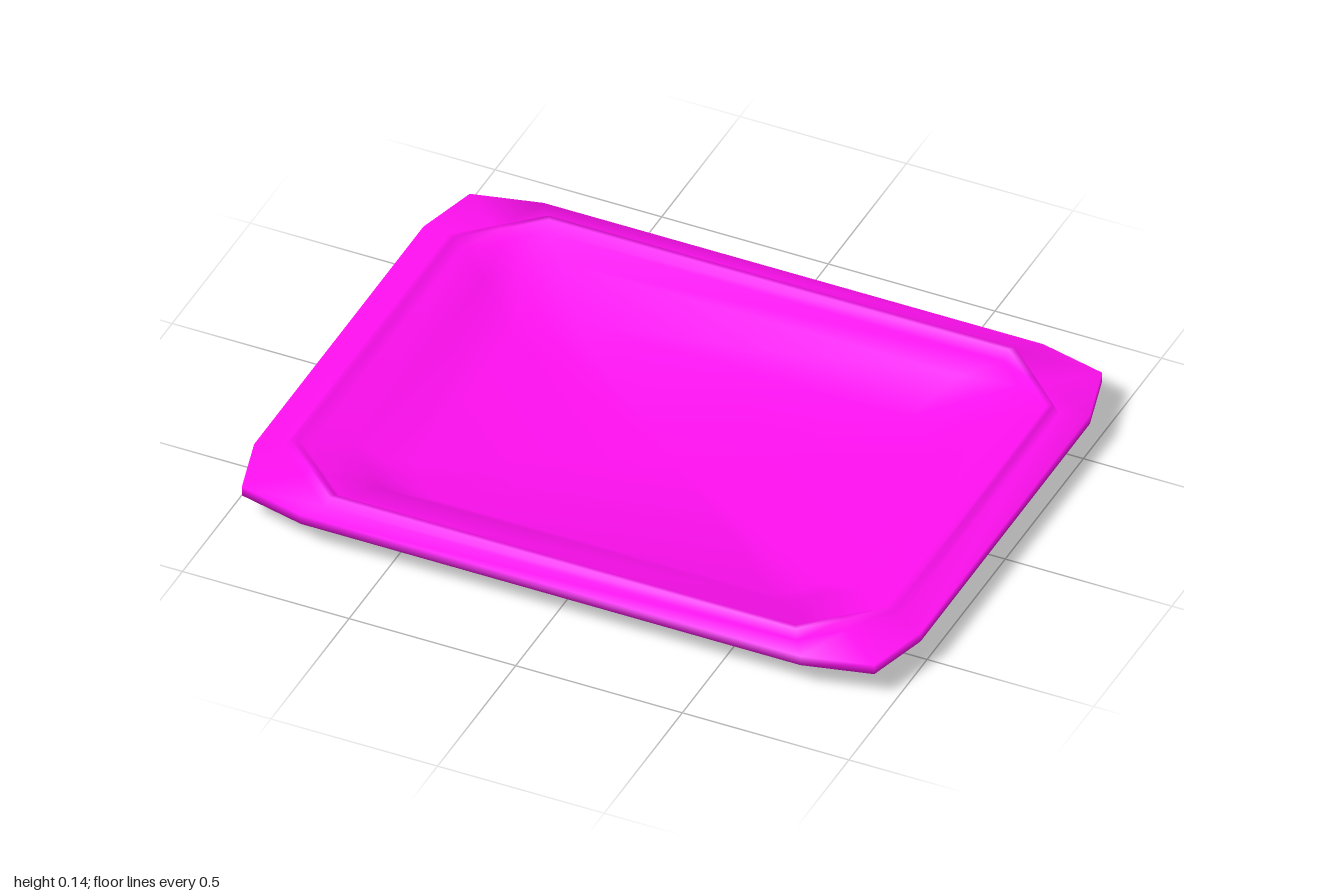
import * as THREE from 'three';

// One loop: a rectangle of half size X, Z with corners cut by cx, cz.
// bulge pushes the middle of each cut outward (0 = straight, 1 = square corner).
function ring(y, X, Z, cx, cz, bulge = 0) {
  const t = 0.5 + bulge / 2;
  const corner = [
    [X, Z - cz],
    [X - cx * (1 - t), Z - cz * (1 - t)],
    [X - cx, Z],
  ];
  const loop = [];
  for (const [sx, sz] of [[1, 1], [-1, 1], [-1, -1], [1, -1]]) {
    const pts = corner.map(([x, z]) => [x * sx, y, z * sz]);
    loop.push(...(sx * sz > 0 ? pts : pts.reverse()));
  }
  return loop;
}

// Closed smooth skin through the loops, capped at both ends
function skin(rings) {
  const n = rings[0].length;
  const pos = rings.flat(2);
  const index = [];
  for (let r = 0; r < rings.length - 1; r++) {
    for (let i = 0; i < n; i++) {
      const a = r * n + i, b = r * n + ((i + 1) % n), c = a + n, d = b + n;
      index.push(a, c, b, b, c, d);
    }
  }
  const first = rings.length * n, last = (rings.length - 1) * n;
  pos.push(0, rings[0][0][1], 0, 0, rings[rings.length - 1][0][1], 0);
  for (let i = 0; i < n; i++) {
    const j = (i + 1) % n;
    index.push(first, i, j, first + 1, last + j, last + i);
  }
  const geo = new THREE.BufferGeometry();
  geo.setAttribute('position', new THREE.Float32BufferAttribute(pos, 3));
  geo.setIndex(index);
  geo.computeVertexNormals();
  return geo;
}

export function createModel() {
  const group = new THREE.Group();
  group.name = 'tray';

  const body = new THREE.Mesh(
    skin([
      ring(0, 0.645, 0.455, 0.13, 0.12), // foot
      ring(0.09, 0.77, 0.575, 0.16, 0.15), // underside of the rim
      ring(0.09, 1, 0.777, 0.25, 0.235, 0.59), // outer edge
      ring(0.12, 1, 0.777, 0.25, 0.235, 0.59),
      ring(0.12, 0.92, 0.715, 0.21, 0.2), // raised lip
      ring(0.145, 0.905, 0.7, 0.205, 0.19),
      ring(0.145, 0.89, 0.685, 0.2, 0.185),
      ring(0.12, 0.865, 0.66, 0.18, 0.165), // inner shelf
      ring(0.11, 0.76, 0.565, 0.16, 0.15),
      ring(0.02, 0.63, 0.44, 0.13, 0.12), // basin floor
    ]),
    new THREE.MeshStandardMaterial({ color: 0xff10f0 })
  );
  body.name = 'trayBody';
  group.add(body);
  return group;
}
